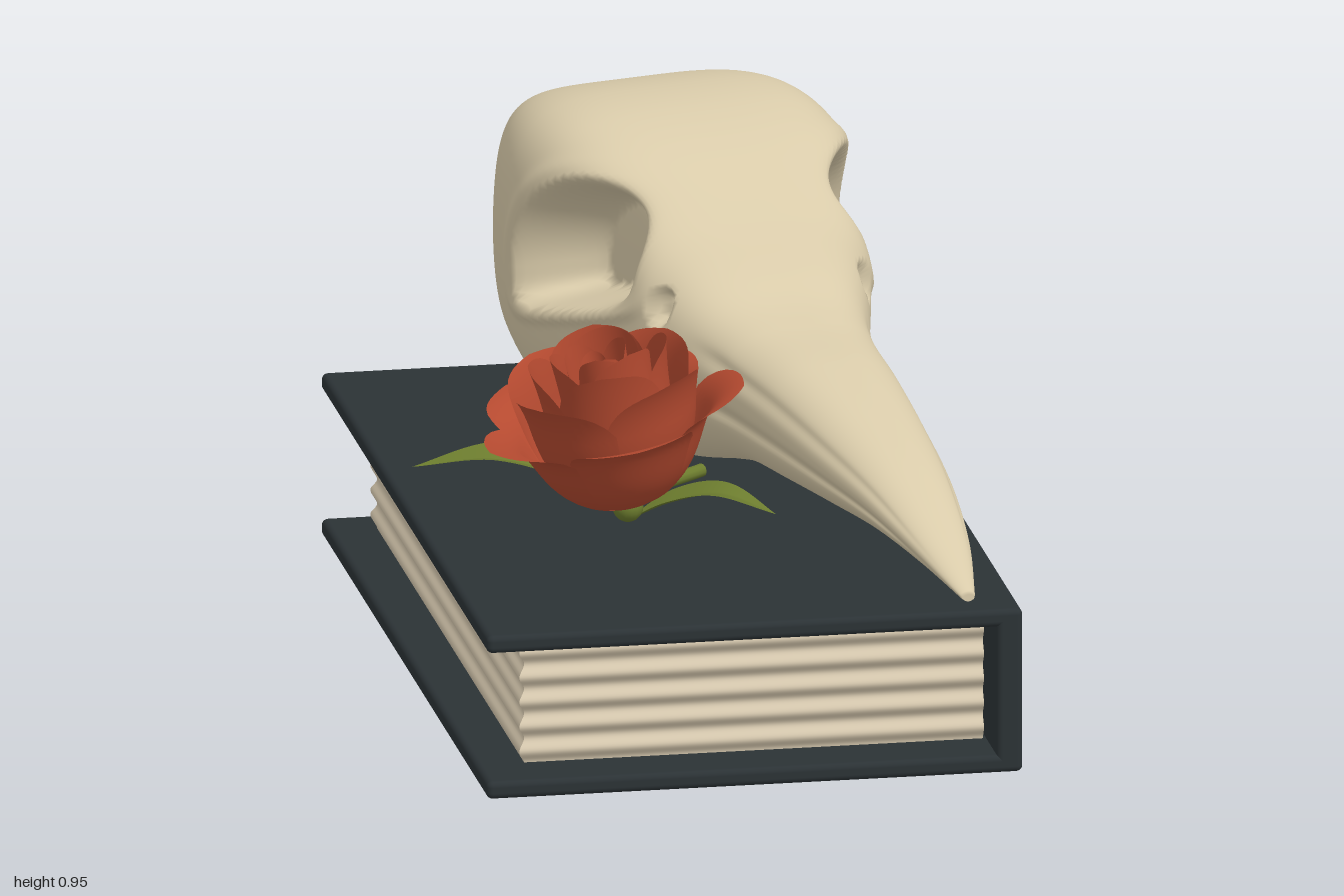
import * as THREE from 'three';
import { RoundedBoxGeometry } from 'three/addons/geometries/RoundedBoxGeometry.js';
import { ParametricGeometry } from 'three/addons/geometries/ParametricGeometry.js';

const mat = (color, side = THREE.FrontSide) => new THREE.MeshStandardMaterial({ color, side });
const COVER = mat(0x2b3235), PAGES = mat(0xd8cab0), BONE = mat(0xd8caa9);
const PETAL = mat(0xb54a30, THREE.DoubleSide), GREEN = mat(0x6c7c2e, THREE.DoubleSide);
const { smoothstep, lerp } = THREE.MathUtils;
const bell = (x) => Math.exp(-x * x);

function add(parent, name, geometry, material) {
  const mesh = new THREE.Mesh(geometry, material);
  mesh.name = name;
  parent.add(mesh);
  return mesh;
}

function createBook() {
  const book = new THREE.Group();
  book.name = 'book';
  const W = 1.038, L = 1.773, H = 0.325, T = 0.035;
  for (const [name, y] of [['bottomCover', T / 2], ['topCover', H - T / 2]]) {
    add(book, name, new RoundedBoxGeometry(W, T, L, 3, 0.012), COVER).position.y = y;
  }
  add(book, 'spine', new RoundedBoxGeometry(0.05, H, L, 3, 0.012), COVER).position.set(W / 2 - 0.025, H / 2, 0);

  // page block with rippled edges
  const geo = new THREE.BoxGeometry(0.9, 0.245, 1.588, 1, 64, 1);
  const p = geo.attributes.position;
  for (let i = 0; i < p.count; i++) {
    const t = p.getY(i) / 0.245 + 0.5;
    const inset = 0.011 * (0.5 + 0.5 * Math.cos(t * Math.PI * 10));
    p.setX(i, p.getX(i) < 0 ? p.getX(i) + inset : p.getX(i));
    p.setZ(i, p.getZ(i) - Math.sign(p.getZ(i)) * inset);
  }
  geo.computeVertexNormals();
  add(book, 'pages', geo, PAGES).position.set(0.01, H / 2, 0);
  book.rotation.y = 0.308;
  return book;
}

function createSkull() {
  // cross-sections from back to beak tip: z, half width, top, bottom, squareness, top taper
  const sections = [
    [-0.895, 0.215, 0.85, 0.44, 5.5, 0.06],
    [-0.87, 0.255, 0.895, 0.4, 5.2, 0.07],
    [-0.75, 0.315, 0.932, 0.36, 5, 0.1],
    [-0.6, 0.355, 0.95, 0.335, 4.8, 0.13],
    [-0.46, 0.355, 0.94, 0.328, 4.8, 0.13],
    [-0.32, 0.318, 0.893, 0.328, 4.6, 0.1],
    [-0.18, 0.258, 0.8, 0.335, 4.2, 0.08],
    [-0.06, 0.205, 0.698, 0.36, 3.6, 0.1],
    [0.06, 0.178, 0.653, 0.38, 3.2, 0.14],
    [0.22, 0.158, 0.622, 0.383, 3, 0.16],
    [0.4, 0.133, 0.573, 0.385, 2.8, 0.18],
    [0.58, 0.1, 0.51, 0.383, 2.6, 0.18],
    [0.74, 0.06, 0.428, 0.362, 2.4, 0.15],
    [0.865, 0.014, 0.342, 0.327, 2, 0.1],
  ];
  const curve = (a, b, c) => new THREE.CatmullRomCurve3(
    sections.map((k) => new THREE.Vector3(k[a], k[b], k[c])), false, 'catmullrom', 0.5);
  const plan = curve(0, 1, 4), heights = curve(2, 3, 5);
  const A = new THREE.Vector3(), B = new THREE.Vector3();

  const surface = (u, v, target) => {
    // the ends of v close the back and the tip
    const k = Math.max(0.001, Math.min(1, v / 0.06, (1 - v) / 0.01));
    const q = Math.min(1, Math.max(0, (v - 0.06) / 0.93));
    plan.getPoint(q, A);
    heights.getPoint(q, B);
    const [s, w, n] = [A.x, A.y, A.z], [top, bottom, taper] = [B.x, B.y, B.z];
    const c = Math.cos(u * Math.PI * 2), sn = Math.sin(u * Math.PI * 2);
    const r = k / Math.pow(Math.abs(c) ** n + Math.abs(sn) ** n, 1 / n);
    const h = 0.5 + 0.5 * r * sn;
    const y = lerp(bottom, top, h);
    let x = r * c * w * (1 - taper * h * h - 0.25 * (1 - h) ** 3);
    const side = smoothstep(Math.abs(c), 0.1, 0.5) * k;

    // eye sockets: arched above, flatter and slanted below, with a faint rim
    const e = (s + 0.37) / 0.18, f = y - (0.685 + 0.24 * (s + 0.37));
    const d = f > 0 ? Math.hypot(e, f / 0.175) : (e ** 4 + (f / 0.085) ** 4) ** 0.25;
    x *= 1 - 0.52 * side * (1 - smoothstep(d, 0.6, 1.05));
    x *= 1 + 0.025 * side * bell((d - 1.18) / 0.14);

    // small opening in front of each eye
    const o = Math.hypot((s + 0.13) / 0.024, (y - 0.66) / 0.042);
    x *= 1 - 0.16 * side * (1 - smoothstep(o, 0.4, 1.1));

    // grooves along the beak
    const beak = smoothstep(s, -0.08, 0.05) * (1 - smoothstep(s, 0.6, 0.85)) * side;
    x *= 1 - beak * (0.06 * bell((h - 0.42) / 0.06) + 0.04 * bell((h - 0.74) / 0.06));

    // back face leans forward at the top and tucks under at the bottom
    const back = 1 - smoothstep(s, -0.88, -0.5);
    target.set(x, y, s + back * (0.12 * Math.max(0, y - 0.5) + 0.4 * Math.max(0, 0.48 - y)));
  };

  const skull = new THREE.Group();
  skull.name = 'birdSkull';
  add(skull, 'craniumAndBeak', new ParametricGeometry(surface, 160, 220), BONE);
  skull.position.set(0.215, 0, -0.085);
  skull.rotation.y = 0.534;
  return skull;
}

// one broad cupped petal: round belly, softly pointed rim, lip flaring outward
function petalGeometry(R, flare, H, spread) {
  return new ParametricGeometry((u, v, target) => {
    const a = u * 2 - 1;
    const t = v * (1 - 0.06 * Math.abs(a) - 0.22 * a ** 4);
    const belly = Math.sqrt(Math.max(0, 1 - (1 - Math.min(1, t * 1.5)) ** 2));
    const r = R * (0.04 + 0.96 * belly) + flare * t ** 4 + 0.012 * a * t;
    const ang = a * spread;
    target.set(Math.sin(ang) * r, H * t - flare * 0.3 * t ** 6, Math.cos(ang) * r);
  }, 18, 18);
}

// leaf blade along a curve, folded at the midrib
function leafGeometry(points, width) {
  const path = new THREE.CatmullRomCurve3(points.map((p) => new THREE.Vector3(...p)));
  return new ParametricGeometry((u, v, target) => {
    const a = u * 2 - 1;
    const tan = path.getTangent(v);
    const w = width * Math.sin(Math.PI * Math.pow(v, 0.8)) * a;
    const len = Math.hypot(tan.x, tan.z);
    path.getPoint(v, target);
    target.x += (tan.z / len) * w;
    target.z -= (tan.x / len) * w;
    target.y += Math.abs(w) * 0.25;
  }, 10, 24);
}

function createRose() {
  const rose = new THREE.Group();
  rose.name = 'rose';

  // petal rings from outside in: count, radius, flare, height, spread, turn
  const rings = [
    [5, 0.165, 0.1, 0.235, 0.68, 0.35],
    [4, 0.155, 0.035, 0.29, 0.85, 0.95],
    [4, 0.12, 0.015, 0.32, 0.95, 0.2],
    [3, 0.085, 0.008, 0.33, 1.2, 0.9],
    [3, 0.055, 0.004, 0.325, 1.25, 0.1],
    [2, 0.028, 0.002, 0.31, 1.7, 0.6],
  ];
  const bloom = new THREE.Group();
  bloom.name = 'bloom';
  rings.forEach(([count, R, flare, H, spread, turn], ring) => {
    for (let i = 0; i < count; i++) {
      const petal = add(bloom, `petal${ring}_${i}`, petalGeometry(R, flare, H, spread), PETAL);
      petal.rotation.y = turn + (i / count) * Math.PI * 2;
    }
  });
  bloom.position.set(-0.045, 0.395, 0.31);
  bloom.rotation.set(0.14, 0, 0.17);
  rose.add(bloom);

  // green cup, stem and leaves
  const cup = new THREE.SphereGeometry(0.03, 16, 10);
  add(rose, 'cup', cup, GREEN).position.set(-0.045, 0.385, 0.31);
  const stem = new THREE.CatmullRomCurve3([
    [-0.045, 0.385, 0.31], [-0.05, 0.35, 0.25], [-0.055, 0.34, 0.13], [-0.03, 0.342, 0.04], [0.05, 0.35, -0.06],
  ].map((p) => new THREE.Vector3(...p)));
  add(rose, 'stem', new THREE.TubeGeometry(stem, 32, 0.013, 10), GREEN);
  add(rose, 'rightLeaf', leafGeometry([[-0.05, 0.345, 0.22], [-0.16, 0.41, 0.23], [-0.31, 0.45, 0.245], [-0.465, 0.435, 0.27]], 0.08), GREEN);
  add(rose, 'leftLeaf', leafGeometry([[-0.05, 0.34, 0.25], [0.03, 0.38, 0.26], [0.13, 0.405, 0.28], [0.24, 0.38, 0.31]], 0.06), GREEN);
  return rose;
}

export function createModel() {
  const model = new THREE.Group();
  model.name = 'skullRoseAndBook';
  model.add(createBook(), createSkull(), createRose());
  return model;
}
